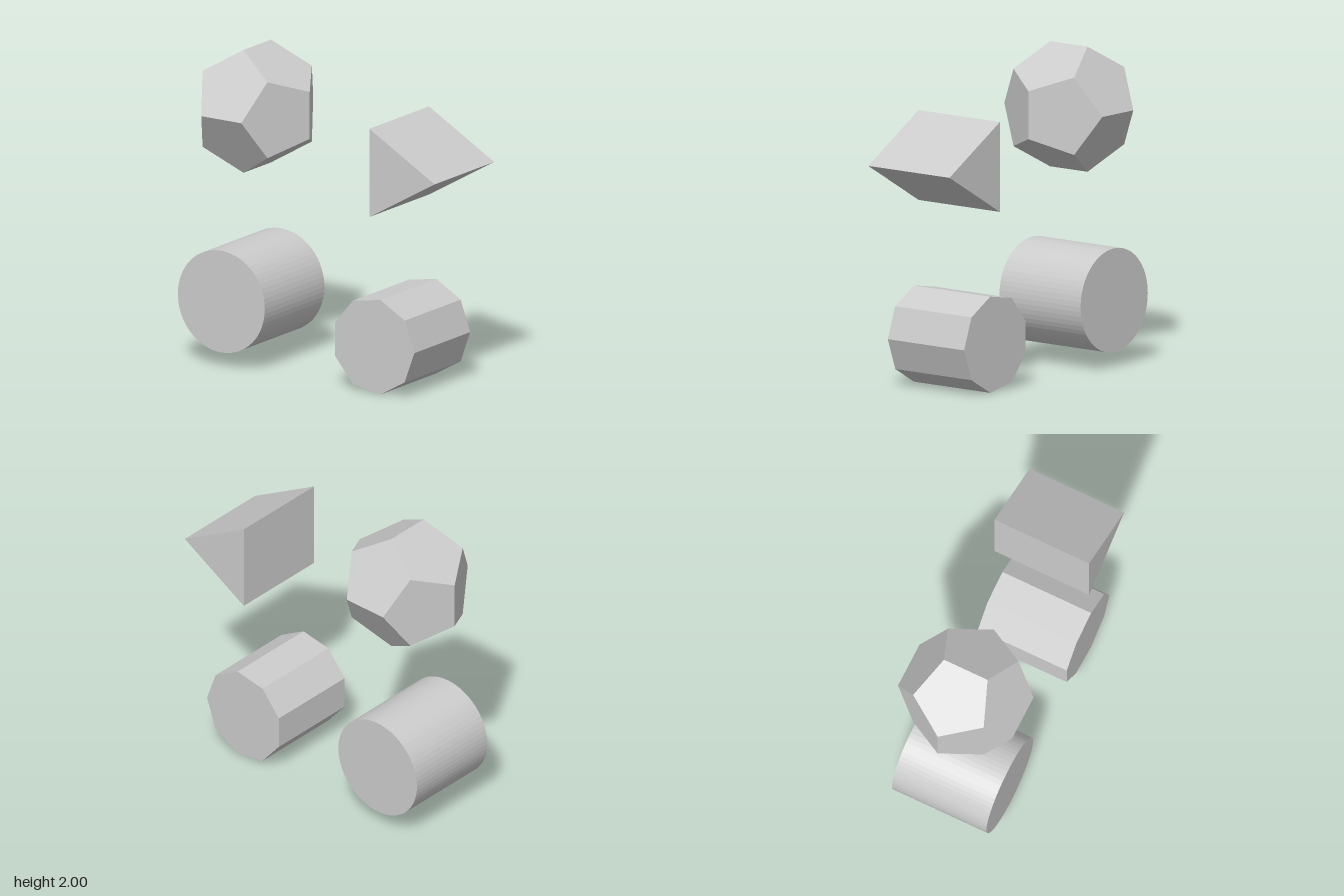
import * as THREE from 'three';

export function createModel() {
  const group = new THREE.Group();
  const material = new THREE.MeshStandardMaterial({ color: 0xcccccc, flatShading: true });

  const add = (name, geometry, x, y) => {
    const mesh = new THREE.Mesh(geometry, material);
    mesh.name = name;
    mesh.position.set(x, y, 0);
    group.add(mesh);
  };

  // Regular prism lying along z, with its first corner towards +x
  const prism = (sides, radius, depth) =>
    new THREE.CylinderGeometry(radius, radius, depth, sides, 1, false, Math.PI / 2).rotateX(Math.PI / 2);

  // Turned so the top edge runs front to back
  add('dodecahedron', new THREE.DodecahedronGeometry(0.421).rotateZ(Math.PI / 2), -0.582, 1.607);
  add('triangularPrism', prism(3, 0.326, 0.652), 0.645, 1.413);
  add('cylinder', prism(64, 0.326, 0.652), -0.628, 0.421);
  add('nonagonalPrism', prism(9, 0.307, 0.612), 0.498, 0.303);

  return group;
}
